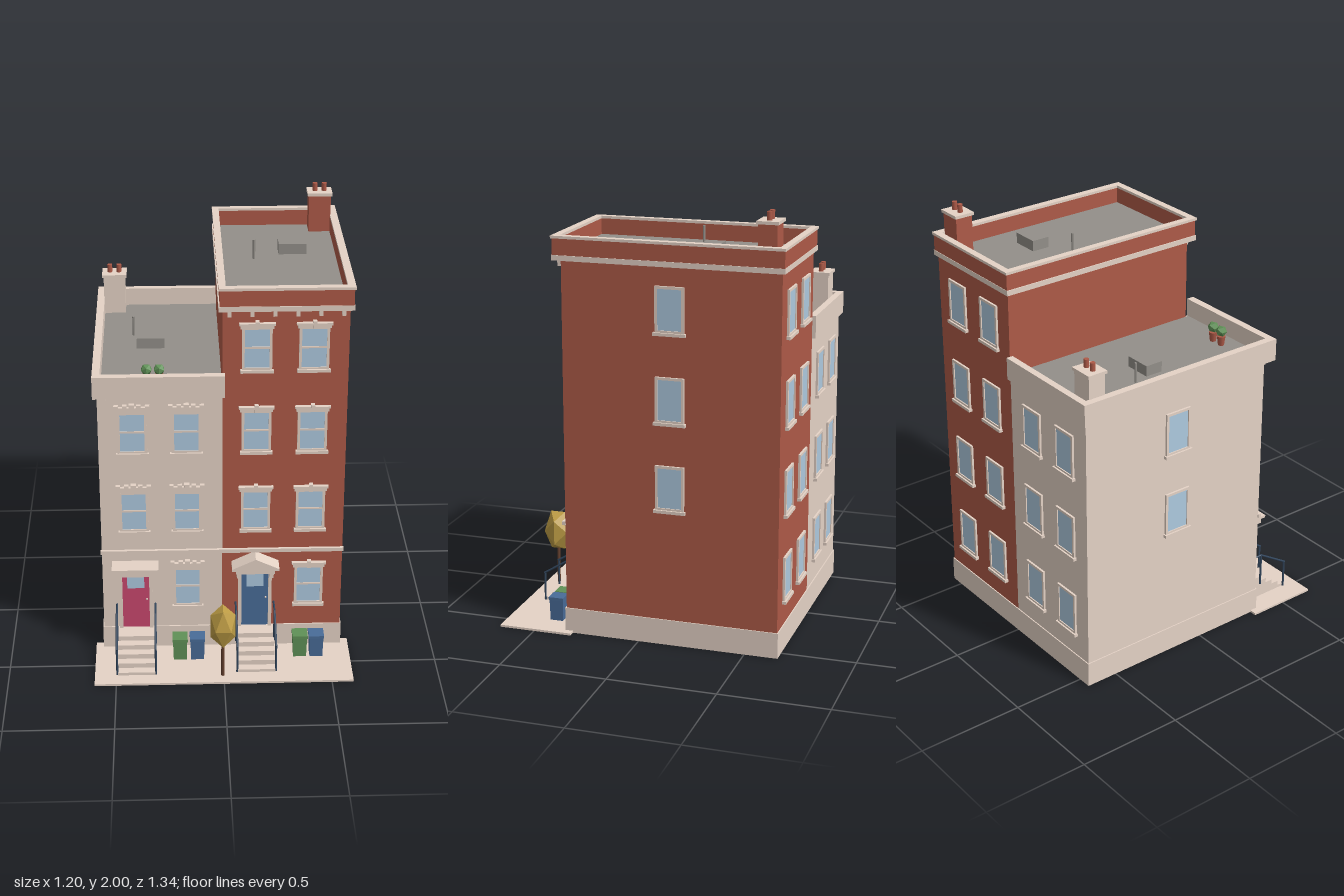
import * as THREE from 'three';

const mat = (name, color) => {
  const m = new THREE.MeshStandardMaterial({ color });
  m.name = name;
  return m;
};

export function createModel() {
  const stone = mat('stone', 0xe5d3c6), brick = mat('brick', 0xae5a48), roofing = mat('roofing', 0x938f89);
  const glass = mat('glass', 0xaecae0), crimson = mat('crimson', 0xc8476e), blue = mat('blue', 0x496c98);
  const green = mat('green', 0x609157), iron = mat('iron', 0x33475e), gold = mat('gold', 0xbe9d45);
  const bark = mat('bark', 0x66412f);
  gold.flatShading = true;

  const model = new THREE.Group();
  model.name = 'townhouses';

  const add = (parent, name, geo, m) => {
    const mesh = new THREE.Mesh(geo, m);
    mesh.name = name;
    parent.add(mesh);
    return mesh;
  };
  const group = (name, parent = model) => {
    const g = new THREE.Group();
    g.name = name;
    parent.add(g);
    return g;
  };
  // box given by its limits
  const box = (parent, name, m, x0, x1, y0, y1, z0, z1) => {
    const mesh = add(parent, name, new THREE.BoxGeometry(x1 - x0, y1 - y0, z1 - z0), m);
    mesh.position.set((x0 + x1) / 2, (y0 + y1) / 2, (z0 + z1) / 2);
    return mesh;
  };
  const rect = (P, x0, x1, z0, z1) => new P([[x0, z1], [x1, z1], [x1, z0], [x0, z0]].map(([x, z]) => new THREE.Vector2(x, -z)));
  // rectangular ring: outer and inner limits as [x0, x1, z0, z1]
  const ring = (parent, name, m, outer, inner, y0, y1) => {
    const s = rect(THREE.Shape, ...outer);
    s.holes.push(rect(THREE.Path, ...inner));
    const geo = new THREE.ExtrudeGeometry(s, { depth: y1 - y0, bevelEnabled: false }).rotateX(-Math.PI / 2);
    add(parent, name, geo, m).position.y = y0;
  };
  const rod = (parent, name, m, a, b, r, sides = 8) => {
    const p = new THREE.Vector3(...a), d = new THREE.Vector3(...b).sub(p);
    const mesh = add(parent, name, new THREE.CylinderGeometry(r, r, d.length(), sides), m);
    mesh.position.copy(p).addScaledVector(d, 0.5);
    mesh.quaternion.setFromUnitVectors(new THREE.Vector3(0, 1, 0), d.normalize());
  };

  // window facing +z, its origin at the middle of the sill top
  const makeWindow = (parent, style, x, y, z, turn = 0) => {
    const g = group('window', parent);
    g.position.set(x, y, z);
    g.rotation.y = turn;
    box(g, 'pane', glass, -0.056, 0.056, 0.01, 0.197, -0.002, 0.005);
    for (const s of [-1, 1]) box(g, 'jamb', stone, s * 0.061 - 0.006, s * 0.061 + 0.006, 0, 0.205, -0.002, 0.01);
    box(g, 'head', stone, -0.067, 0.067, 0.195, 0.207, -0.002, 0.01);
    box(g, 'bottomRail', stone, -0.06, 0.06, 0, 0.011, -0.002, 0.01);
    box(g, 'sill', stone, -0.074, 0.074, -0.012, 0.002, -0.002, 0.018);
    if (style === 'plain') return;
    box(g, 'meetingRail', stone, -0.056, 0.056, 0.103, 0.112, -0.002, 0.009);
    if (style === 'keystone') {
      box(g, 'lintel', stone, -0.074, 0.074, 0.2, 0.222, -0.002, 0.014);
      box(g, 'lintelCap', stone, -0.08, 0.08, 0.216, 0.226, -0.002, 0.02);
      box(g, 'keystone', stone, -0.009, 0.009, 0.202, 0.236, -0.002, 0.024);
    } else {
      box(g, 'lintel', stone, -0.078, 0.078, 0.205, 0.232, -0.002, 0.016);
      for (const s of [-1, 1]) {
        box(g, 'lintelEar', stone, s * 0.07 - 0.01, s * 0.07 + 0.01, 0.185, 0.242, -0.002, 0.02);
        box(g, 'crest', stone, s * 0.032 - 0.01, s * 0.032 + 0.01, 0.22, 0.243, -0.002, 0.018);
      }
      box(g, 'keystone', stone, -0.012, 0.012, 0.205, 0.248, -0.002, 0.022);
    }
  };

  // door with its frame, glazing and knob
  const makeDoor = (parent, x, m) => {
    const g = group('door', parent);
    g.position.set(x, 0.12, 0.35);
    box(g, 'doorLeaf', m, -0.064, 0.064, 0, 0.31, -0.002, 0.006);
    box(g, 'doorLight', glass, -0.04, 0.04, 0.215, 0.288, 0, 0.009);
    add(g, 'knob', new THREE.SphereGeometry(0.005, 8, 6), stone).position.set(0.051, 0.155, 0.01);
    for (const s of [-1, 1]) box(g, 'pilaster', stone, s * 0.071 - 0.008, s * 0.071 + 0.008, 0, 0.32, -0.002, 0.016);
  };

  // steps with an iron railing on each side
  const makeStoop = (parent, x, zEnd) => {
    const g = group('stoop', parent);
    g.position.x = x;
    for (let i = 0; i < 5; i++) box(g, 'step', stone, -0.088, 0.088, i * 0.024, (i + 1) * 0.024, 0.35, zEnd - i * 0.04);
    const zTop = zEnd - 0.16, zLow = zEnd - 0.007;
    for (const s of [-0.09, 0.09]) {
      rod(g, 'lowPost', iron, [s, 0.01, zLow], [s, 0.15, zLow], 0.005);
      rod(g, 'topPost', iron, [s, 0.08, zTop], [s, 0.247, zTop], 0.005);
      rod(g, 'handrail', iron, [s, 0.147, zLow + 0.004], [s, 0.245, zTop], 0.005);
      rod(g, 'topRail', iron, [s, 0.244, zTop + 0.004], [s, 0.244, 0.35], 0.0045);
    }
  };

  const makeChimney = (parent, x, y0, y1, m) => {
    const g = group('chimney', parent);
    box(g, 'stack', m, x - 0.052, x + 0.052, y0, y1, -0.62, -0.536);
    box(g, 'chimneyCap', stone, x - 0.059, x + 0.059, y1, y1 + 0.014, -0.627, -0.529);
    for (const s of [-0.022, 0.022]) rod(g, 'chimneyPot', brick, [x + s, y1, -0.578], [x + s, y1 + 0.052, -0.578], 0.012, 12);
  };

  // hollow plinth and underside
  const makePlinth = (parent, x0, x1) => {
    ring(parent, 'plinth', stone, [x0, x1, -0.655, 0.356], [x0 + 0.012, x1 - 0.012, -0.643, 0.344], 0, 0.12);
    box(parent, 'underside', stone, x0 + 0.01, x1 - 0.01, 0.112, 0.119, -0.645, 0.346);
  };

  // windows on back, front and one side
  const glaze = (parent, xs, floors, doorX, frontStyle, sideX, y0) => {
    for (let f = 0; f < floors; f++) {
      const y = y0 + f * 0.405;
      for (const x of xs) {
        if (f > 0 || x !== doorX) makeWindow(parent, frontStyle, x, y, 0.35);
        makeWindow(parent, 'plain', x, y, -0.65, Math.PI);
      }
      if (f > 0) makeWindow(parent, 'plain', sideX, y, -0.15, Math.sign(sideX) * Math.PI / 2);
    }
  };

  // low stone house
  const low = group('stoneHouse');
  makePlinth(low, -0.565, 0);
  box(low, 'walls', stone, -0.56, 0, 0.12, 1.35, -0.65, 0.35);
  box(low, 'roof', roofing, -0.545, 0, 1.342, 1.36, -0.637, 0.367);
  box(low, 'frontParapet', stone, -0.578, 0.01, 1.34, 1.445, 0.366, 0.402);
  box(low, 'cornice', stone, -0.578, 0.01, 1.34, 1.358, 0.345, 0.402);
  box(low, 'sideParapet', stone, -0.578, -0.543, 1.34, 1.445, -0.667, 0.402);
  box(low, 'backParapet', stone, -0.578, 0, 1.34, 1.445, -0.667, -0.635);
  for (let i = 0; i < 6; i++) box(low, 'bracket', stone, -0.536 + i * 0.098, -0.52 + i * 0.098, 1.308, 1.341, 0.349, 0.38);
  glaze(low, [-0.406, -0.162], 3, -0.406, 'crest', -0.56, 0.236);
  makeDoor(low, -0.406, crimson);
  box(low, 'doorHood', stone, -0.5, -0.312, 0.435, 0.468, 0.348, 0.425);
  box(low, 'doorHoodCap', stone, -0.514, -0.298, 0.468, 0.48, 0.348, 0.439);
  for (const s of [-1, 1]) box(low, 'hoodBracket', stone, -0.416 + s * 0.076, -0.396 + s * 0.076, 0.4, 0.436, 0.348, 0.4);
  makeStoop(low, -0.406, 0.599);
  makeChimney(low, -0.494, 1.35, 1.545, stone);

  // tall brick house
  const tall = group('brickHouse');
  makePlinth(tall, 0, 0.565);
  box(tall, 'plinthLining', brick, 0.012, 0.553, 0.001, 0.112, 0.336, 0.344);
  box(tall, 'walls', brick, 0, 0.56, 0.12, 1.75, -0.65, 0.35);
  box(tall, 'roof', roofing, 0.01, 0.547, 1.75, 1.77, -0.638, 0.362);
  const inner = [0.014, 0.543, -0.635, 0.358];
  ring(tall, 'corniceBand', stone, [-0.018, 0.575, -0.664, 0.39], [0.02, 0.54, -0.63, 0.34], 1.745, 1.769);
  ring(tall, 'parapet', brick, [-0.013, 0.572, -0.662, 0.387], inner, 1.769, 1.843);
  ring(tall, 'coping', stone, [-0.018, 0.578, -0.667, 0.392], inner, 1.843, 1.855);
  for (let i = 0; i < 6; i++) box(tall, 'bracket', stone, 0.022 + i * 0.1, 0.038 + i * 0.1, 1.715, 1.746, 0.349, 0.375);
  glaze(tall, [0.153, 0.405], 4, 0.153, 'keystone', 0.56, 0.238);
  makeDoor(tall, 0.153, blue);
  box(tall, 'doorEntablature', stone, 0.062, 0.244, 0.435, 0.462, 0.348, 0.415);
  const gable = new THREE.Shape([[-0.11, 0], [0.11, 0], [0.11, 0.01], [0, 0.062], [-0.11, 0.01]].map((p) => new THREE.Vector2(...p)));
  add(tall, 'pediment', new THREE.ExtrudeGeometry(gable, { depth: 0.083, bevelEnabled: false }), stone).position.set(0.153, 0.46, 0.348);
  for (const s of [-1, 1]) box(tall, 'hoodBracket', stone, 0.143 + s * 0.076, 0.163 + s * 0.076, 0.4, 0.436, 0.348, 0.395);
  makeStoop(tall, 0.153, 0.59);
  makeChimney(tall, 0.494, 1.76, 1.948, brick);

  // string course across both fronts
  box(model, 'stringCourse', stone, -0.565, 0.565, 0.522, 0.54, 0.348, 0.364);

  // roof fittings
  box(model, 'roofHatch', roofing, -0.385, -0.255, 1.355, 1.41, -0.188, -0.102);
  box(model, 'roofHatch', roofing, 0.28, 0.41, 1.765, 1.82, -0.32, -0.235);
  rod(model, 'ventPipe', roofing, [-0.4, 1.355, -0.26], [-0.4, 1.455, -0.26], 0.006);
  rod(model, 'ventPipe', roofing, [0.163, 1.765, -0.184], [0.163, 1.863, -0.184], 0.006);
  for (const x of [-0.337, -0.28]) {
    const pot = group('planter');
    pot.position.set(x, 1.36, 0.283);
    add(pot, 'pot', new THREE.CylinderGeometry(0.02, 0.014, 0.045, 10), brick).position.y = 0.0225;
    add(pot, 'shrub', new THREE.IcosahedronGeometry(0.027, 0), green).position.y = 0.069;
  }

  // pavement, bins and street tree
  box(model, 'pavement', stone, -0.6, 0.6, 0, 0.01, 0.32, 0.668);
  for (const [x, z, m] of [[-0.202, 0.447, green], [-0.12, 0.447, blue], [0.363, 0.437, green], [0.44, 0.437, blue]]) {
    const bin = group('bin');
    bin.position.set(x, 0, z);
    const body = new THREE.CylinderGeometry(0.047, 0.043, 0.102, 4).rotateY(Math.PI / 4).toNonIndexed();
    body.computeVertexNormals();
    add(bin, 'binBody', body, m).position.y = 0.061;
    box(bin, 'binLid', m, -0.036, 0.036, 0.11, 0.124, -0.036, 0.036);
  }
  const tree = group('tree');
  tree.position.set(-0.005, 0, 0.61);
  rod(tree, 'trunk', bark, [0, 0, 0], [0, 0.22, 0], 0.008);
  const crown = add(tree, 'crown', new THREE.IcosahedronGeometry(0.068, 0), gold);
  crown.rotation.y = Math.PI / 2;
  crown.scale.y = 1.65;
  crown.position.y = 0.28;

  return model;
}
